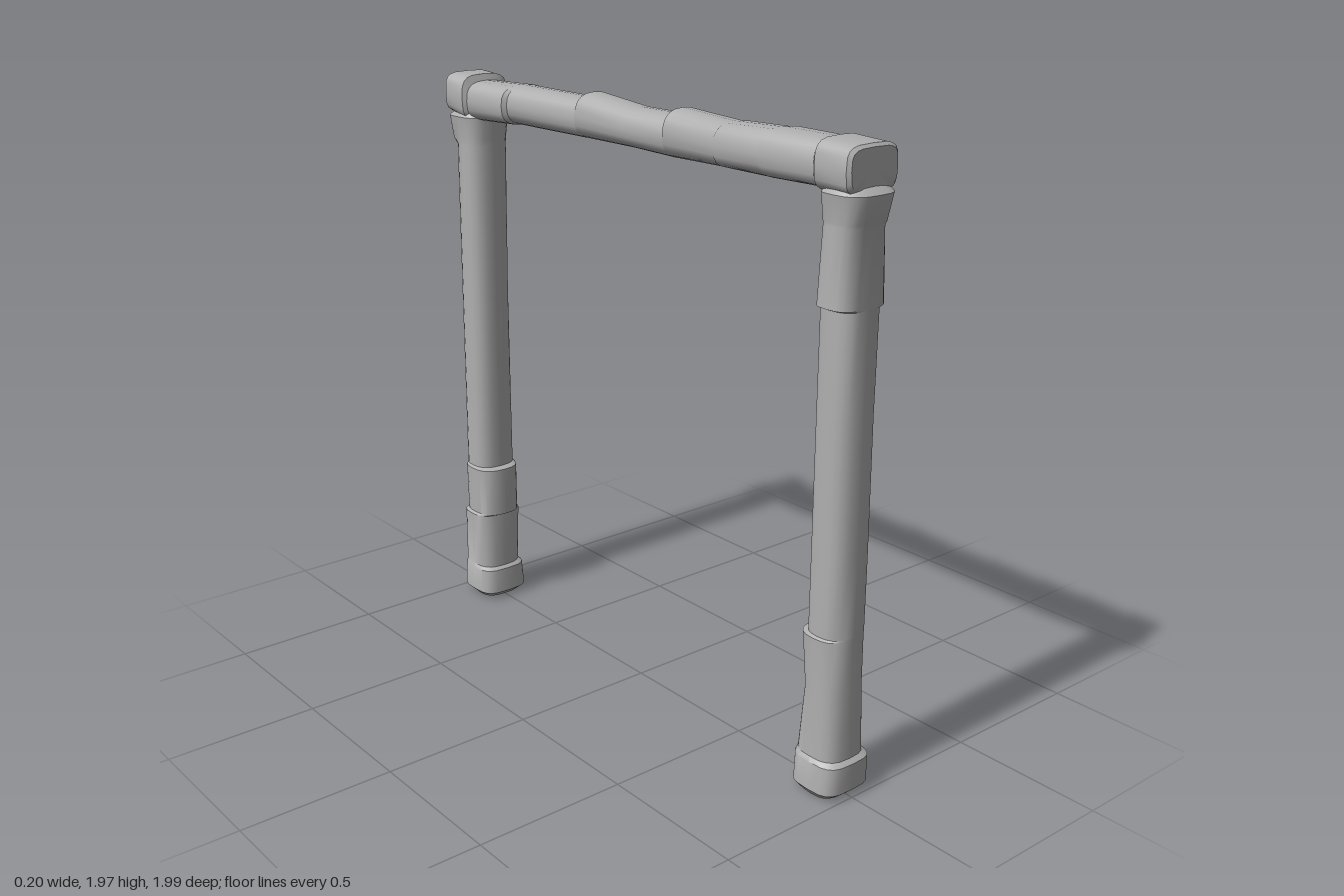
import * as THREE from 'three';
import { toCreasedNormals } from 'three/addons/utils/BufferGeometryUtils.js';

const SIDES = 20;

// Lofts a rounded section through rings [t, uMin, uMax, vMin, vMax, squareness].
// place(u, v, t) maps to model space; (u, v, t) must be right-handed.
function loft(rings, place) {
  const pos = [], index = [];
  for (const [t, u0, u1, v0, v1, power] of rings) {
    for (let j = 0; j < SIDES; j++) {
      const a = (j / SIDES) * Math.PI * 2;
      const round = (c) => Math.sign(c) * Math.pow(Math.abs(c), 2 / power);
      const u = (u0 + u1) / 2 + (u1 - u0) / 2 * round(Math.cos(a));
      const v = (v0 + v1) / 2 + (v1 - v0) / 2 * round(Math.sin(a));
      pos.push(...place(u, v, t));
    }
  }
  const last = rings.length - 1;
  for (let i = 0; i < last; i++) {
    for (let j = 0; j < SIDES; j++) {
      const k = (j + 1) % SIDES, a = i * SIDES, b = a + SIDES;
      index.push(a + j, a + k, b + k, a + j, b + k, b + j);
    }
  }
  // end caps
  for (const [i, flip] of [[0, true], [last, false]]) {
    const [t, u0, u1, v0, v1] = rings[i], c = pos.length / 3;
    pos.push(...place((u0 + u1) / 2, (v0 + v1) / 2, t));
    for (let j = 0; j < SIDES; j++) {
      const p = i * SIDES + j, q = i * SIDES + (j + 1) % SIDES;
      if (flip) index.push(c, q, p);
      else index.push(c, p, q);
    }
  }
  const geo = new THREE.BufferGeometry();
  geo.setAttribute('position', new THREE.Float32BufferAttribute(pos, 3));
  geo.setIndex(index);
  return toCreasedNormals(geo, 0.65);
}

// Upright posts: rings are [y, zMin, zMax, xMin, xMax, squareness]
const alongY = (u, v, t) => [v, t, u];
const frontPost = [
  [0.005, 0.84, 0.97, -0.08, 0.07, 3],
  [0.03, 0.815, 0.998, -0.1, 0.098, 3.5],
  [0.12, 0.815, 1, -0.095, 0.095, 3.5],
  [0.132, 0.815, 0.985, -0.085, 0.085, 3],
  [0.35, 0.832, 0.98, -0.082, 0.08, 2.6],
  [0.525, 0.82, 0.98, -0.09, 0.08, 2.6],
  [0.53, 0.835, 0.98, -0.08, 0.078, 2.6],
  [0.76, 0.835, 0.98, -0.08, 0.078, 2.6],
  [1.2, 0.835, 0.978, -0.08, 0.075, 2.6],
  [1.51, 0.835, 0.978, -0.08, 0.078, 2.6],
  [1.515, 0.835, 0.978, -0.093, 0.092, 3],
  [1.74, 0.835, 0.98, -0.08, 0.08, 2.8],
  [1.75, 0.835, 0.985, -0.08, 0.08, 3],
  [1.83, 0.835, 1, -0.095, 0.092, 3],
  [1.85, 0.85, 0.975, -0.08, 0.08, 3],
];
const backPost = [
  [0.005, -0.96, -0.83, -0.07, 0.08, 3],
  [0.03, -0.99, -0.8, -0.095, 0.098, 3.5],
  [0.12, -0.985, -0.805, -0.092, 0.092, 3.5],
  [0.13, -0.993, -0.818, -0.085, 0.085, 3],
  [0.34, -0.98, -0.82, -0.092, 0.095, 3],
  [0.347, -0.978, -0.8, -0.083, 0.08, 2.6],
  [0.525, -0.972, -0.8, -0.09, 0.08, 2.6],
  [0.532, -0.972, -0.825, -0.08, 0.078, 2.6],
  [1.2, -0.968, -0.822, -0.08, 0.076, 2.6],
  [1.73, -0.965, -0.815, -0.08, 0.08, 2.6],
  [1.75, -0.985, -0.815, -0.08, 0.08, 3],
  [1.83, -0.992, -0.81, -0.092, 0.09, 3],
  [1.85, -0.96, -0.83, -0.08, 0.08, 3],
];

// Cross beam: rings are [z, xMin, xMax, yMin, yMax, squareness]
const alongZ = (u, v, t) => [u, v, t];
const beam = [
  [-0.97, -0.08, 0.08, 1.855, 1.97, 3],
  [-0.955, -0.1, 0.095, 1.84, 1.978, 4],
  [-0.86, -0.095, 0.092, 1.815, 1.975, 3.5],
  [-0.85, -0.083, 0.083, 1.817, 1.953, 2.8],
  [-0.62, -0.097, 0.093, 1.828, 1.96, 2.8],
  [-0.61, -0.082, 0.08, 1.83, 1.96, 2.5],
  [-0.24, -0.08, 0.08, 1.83, 1.957, 2.5],
  [-0.235, -0.08, 0.08, 1.83, 1.976, 2.5],
  [0, -0.08, 0.078, 1.83, 1.954, 2.5],
  [0.195, -0.08, 0.076, 1.825, 1.954, 2.5],
  [0.2, -0.083, 0.076, 1.825, 1.974, 2.5],
  [0.43, -0.09, 0.082, 1.828, 1.96, 2.5],
  [0.435, -0.092, 0.093, 1.828, 1.96, 2.8],
  [0.62, -0.1, 0.083, 1.828, 1.967, 2.6],
  [0.64, -0.098, 0.092, 1.828, 1.968, 3],
  [0.83, -0.085, 0.085, 1.828, 1.966, 2.8],
  [0.845, -0.098, 0.096, 1.825, 1.972, 3.5],
  [0.965, -0.1, 0.098, 1.828, 1.964, 4],
  [0.975, -0.09, 0.088, 1.84, 1.955, 4],
];

export function createModel() {
  const group = new THREE.Group();
  group.name = 'postFrame';
  const grey = new THREE.MeshStandardMaterial({ color: 0xb0b0b0 });
  grey.name = 'plain grey';

  const parts = [
    ['frontPost', frontPost, alongY],
    ['backPost', backPost, alongY],
    ['crossBeam', beam, alongZ],
  ];
  for (const [name, rings, place] of parts) {
    const mesh = new THREE.Mesh(loft(rings, place), grey);
    mesh.name = name;
    group.add(mesh);
  }
  return group;
}
